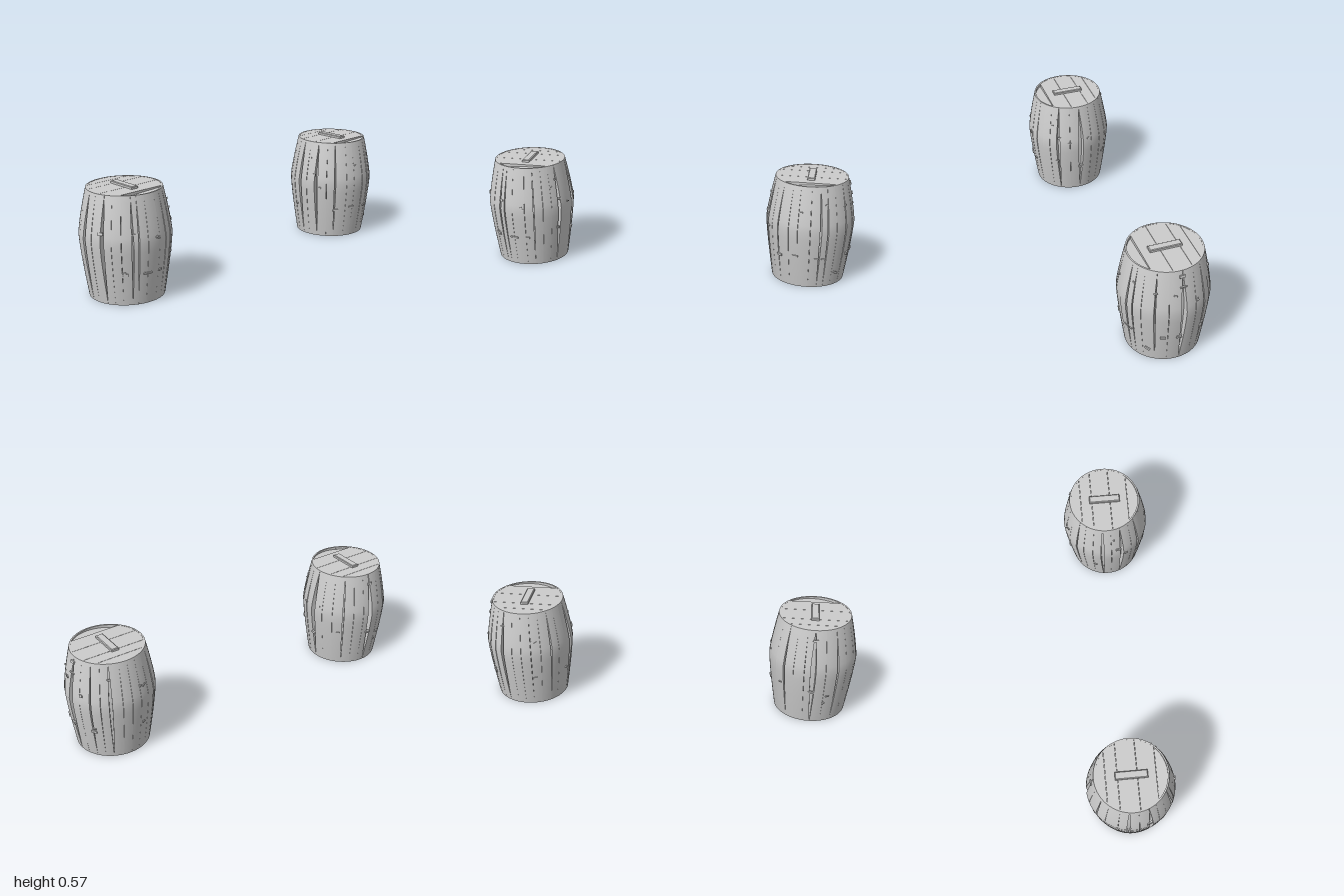
import * as THREE from 'three';

const H = 0.555, BELLY = 0.32, R_END = 0.19, R_BELLY = 0.23;
const RAD = Math.PI / 180;

// outer radius of the barrel at a height
function radiusAt(y) {
  const d = y > BELLY ? (y - BELLY) / (H - BELLY) : (BELLY - y) / BELLY;
  return R_END + (R_BELLY - R_END) * (1 - Math.pow(d, 1.25));
}

function seeded(seed) {
  let s = seed;
  return () => (s = (s * 16807) % 2147483647) / 2147483647;
}

// bent plank: box x becomes angle, y height, z radius
function staveGeometry(a0, a1, gap0, gap1, lift) {
  const g = new THREE.BoxGeometry(1, 1, 1, 4, 14, 1);
  const p = g.attributes.position;
  for (let i = 0; i < p.count; i++) {
    const v = p.getY(i) + 0.5, w = p.getZ(i) + 0.5;
    const y = v < 0.5 ? v * 2 * BELLY : BELLY + (v - 0.5) * 2 * (H - BELLY);
    const open = Math.sin(Math.PI * v); // joints open towards the belly
    const s = a0 + gap0 * open, e = a1 - gap1 * open;
    const a = s + (e - s) * (p.getX(i) + 0.5);
    const outer = radiusAt(y) + lift * open;
    const r = w > 0.5 ? outer : outer - 0.008 - 0.03 * open;
    p.setXYZ(i, Math.sin(a) * r, y, Math.cos(a) * r);
  }
  g.computeVertexNormals();
  return g;
}

// slice of a disc between two z values, its top at y = 0
function discPlank(r, z0, z1, thick) {
  const pts = [];
  const b0 = Math.asin(z0 / r), b1 = Math.asin(z1 / r);
  for (let i = 0; i <= 12; i++) {
    const b = b0 + (b1 - b0) * i / 12;
    pts.push(new THREE.Vector2(Math.cos(b) * r, Math.sin(b) * r));
  }
  for (let i = 12; i >= 0; i--) {
    const b = b0 + (b1 - b0) * i / 12;
    pts.push(new THREE.Vector2(-Math.cos(b) * r, Math.sin(b) * r));
  }
  const g = new THREE.ExtrudeGeometry(new THREE.Shape(pts), { depth: thick, bevelEnabled: false });
  return g.rotateX(Math.PI / 2);
}

function makeBarrel(mat, spec) {
  const barrel = new THREE.Group();
  const rnd = seeded(spec.seed);
  const add = (geo, name) => {
    const m = new THREE.Mesh(geo, mat);
    m.name = name;
    barrel.add(m);
    return m;
  };

  // inner shell seen through the open joints
  const profile = [];
  for (let i = 0; i <= 12; i++) {
    const y = 0.004 + (H - 0.012) * i / 12;
    profile.push(new THREE.Vector2(0.183 + (radiusAt(y) - R_END) * 0.4, y));
  }
  add(new THREE.LatheGeometry(profile, 48), 'innerShell');

  // joint positions: wide cracks plus even narrow joints between them
  const joints = spec.cracks.map(([deg, half]) => ({ a: deg * RAD, half: half * RAD }));
  const all = [];
  joints.forEach((j, i) => {
    const next = i + 1 < joints.length ? joints[i + 1].a : joints[0].a + Math.PI * 2;
    const n = Math.max(1, Math.round((next - j.a) / (15 * RAD)));
    all.push(j);
    for (let k = 1; k < n; k++) {
      const a = j.a + (next - j.a) * (k + (rnd() - 0.5) * 0.3) / n;
      all.push({ a, half: 0.2 * RAD });
    }
  });
  all.forEach((j, i) => {
    const last = i === all.length - 1;
    const n = last ? all[0] : all[i + 1];
    const end = last ? n.a + Math.PI * 2 : n.a;
    add(staveGeometry(j.a, end, j.half, n.half, rnd() * 0.003), 'stave');
  });

  // lid planks, the front one sunk and tilted
  const rows = [-0.1855, -0.13, -0.07, 0.03, 0.125];
  for (let i = 0; i < 4; i++) {
    add(discPlank(0.186, rows[i] + 0.0008, rows[i + 1] - 0.0008, 0.02), 'lidPlank').position.y = H - 0.001;
  }
  const sunk = add(discPlank(0.184, 0.126, 0.1835, 0.012), 'sunkenLidPlank');
  sunk.position.set(0, H - 0.012, 0);
  sunk.rotation.z = 0.04;
  add(discPlank(0.183, -0.1825, 0.1825, 0.01), 'lidBacking').position.y = H - 0.022;

  // lid handle with chamfered edges
  const bar = new THREE.Shape();
  bar.moveTo(-0.016, -0.079).lineTo(0.016, -0.079).lineTo(0.016, 0.079).lineTo(-0.016, 0.079).closePath();
  const barGeo = new THREE.ExtrudeGeometry(bar, {
    depth: 0.014, bevelEnabled: true, bevelThickness: 0.003, bevelSize: 0.004, bevelSegments: 1,
  }).rotateX(-Math.PI / 2);
  add(barGeo, 'lidHandle').position.set(0, H - 0.005, 0);

  // bottom planks
  const base = [-0.1865, -0.09, 0, 0.09, 0.1865];
  for (let i = 0; i < 4; i++) {
    add(discPlank(0.187, base[i] + 0.0008, base[i + 1] - 0.0008, 0.012), 'bottomPlank').position.y = 0.012;
  }

  // small wooden pegs and splinters on the outside
  const chip = (deg, y, w, h, roll) => {
    const a = deg * RAD, r = radiusAt(y) + 0.001;
    const m = add(new THREE.BoxGeometry(w, h, 0.011), 'splinter');
    m.position.set(Math.sin(a) * r, y, Math.cos(a) * r);
    m.rotation.set(y > BELLY ? -0.17 : 0.13, a, roll, 'YXZ');
  };
  spec.chips.forEach(c => chip(...c));
  for (let i = 0; i < 12; i++) {
    chip(rnd() * 360, 0.05 + rnd() * 0.46, 0.008 + rnd() * 0.012, 0.005 + rnd() * 0.005, (rnd() - 0.5) * 0.8);
  }
  return barrel;
}

export function createModel() {
  const wood = new THREE.MeshStandardMaterial({ color: 0xcccccc });
  wood.name = 'pale grey wood';
  const model = new THREE.Group();

  // cracks: [angle, half width]; chips: [angle, y, width, height, roll], degrees from the front
  const left = makeBarrel(wood, {
    seed: 71,
    cracks: [[18, 1.2], [28, 0.8], [58, 1], [94, 3.5], [126, 1], [152, 2], [222, 1], [262, 2.5], [290, 2.5], [318, 1]],
    chips: [
      [69, 0.165, 0.026, 0.015, 0], [90, 0.165, 0.027, 0.015, 0], [127, 0.165, 0.03, 0.015, 0],
      [128, 0.185, 0.02, 0.008, 0], [93, 0.525, 0.028, 0.014, 0], [94, 0.468, 0.035, 0.006, 0],
      [113, 0.37, 0.016, 0.015, 0.2], [48, 0.072, 0.028, 0.012, -0.5], [-40, 0.165, 0.03, 0.013, 0],
      [-15, 0.18, 0.03, 0.008, 0], [15, 0.17, 0.03, 0.008, 0], [-75, 0.37, 0.03, 0.014, 0],
    ],
  });
  left.name = 'leftBarrel';
  left.position.x = 0.77;

  const right = makeBarrel(wood, {
    seed: 2903,
    cracks: [[-30, 1.2], [-22, 0.8], [20, 0.6], [58, 2.5], [92, 3.5], [140, 1], [181, 3.5], [215, 1], [262, 2.5], [292, 2.5]],
    chips: [
      [-40, 0.165, 0.03, 0.013, 0], [-10, 0.165, 0.045, 0.008, 0], [10, 0.165, 0.02, 0.01, 0],
      [-70, 0.37, 0.03, 0.014, 0], [-28, 0.37, 0.025, 0.008, 0], [60, 0.37, 0.02, 0.012, 0],
      [182, 0.5, 0.03, 0.012, 0], [180, 0.2, 0.03, 0.012, 0], [92, 0.165, 0.028, 0.014, 0],
    ],
  });
  right.name = 'rightBarrel';
  right.position.x = -0.77;

  model.add(left, right);
  return model;
}
